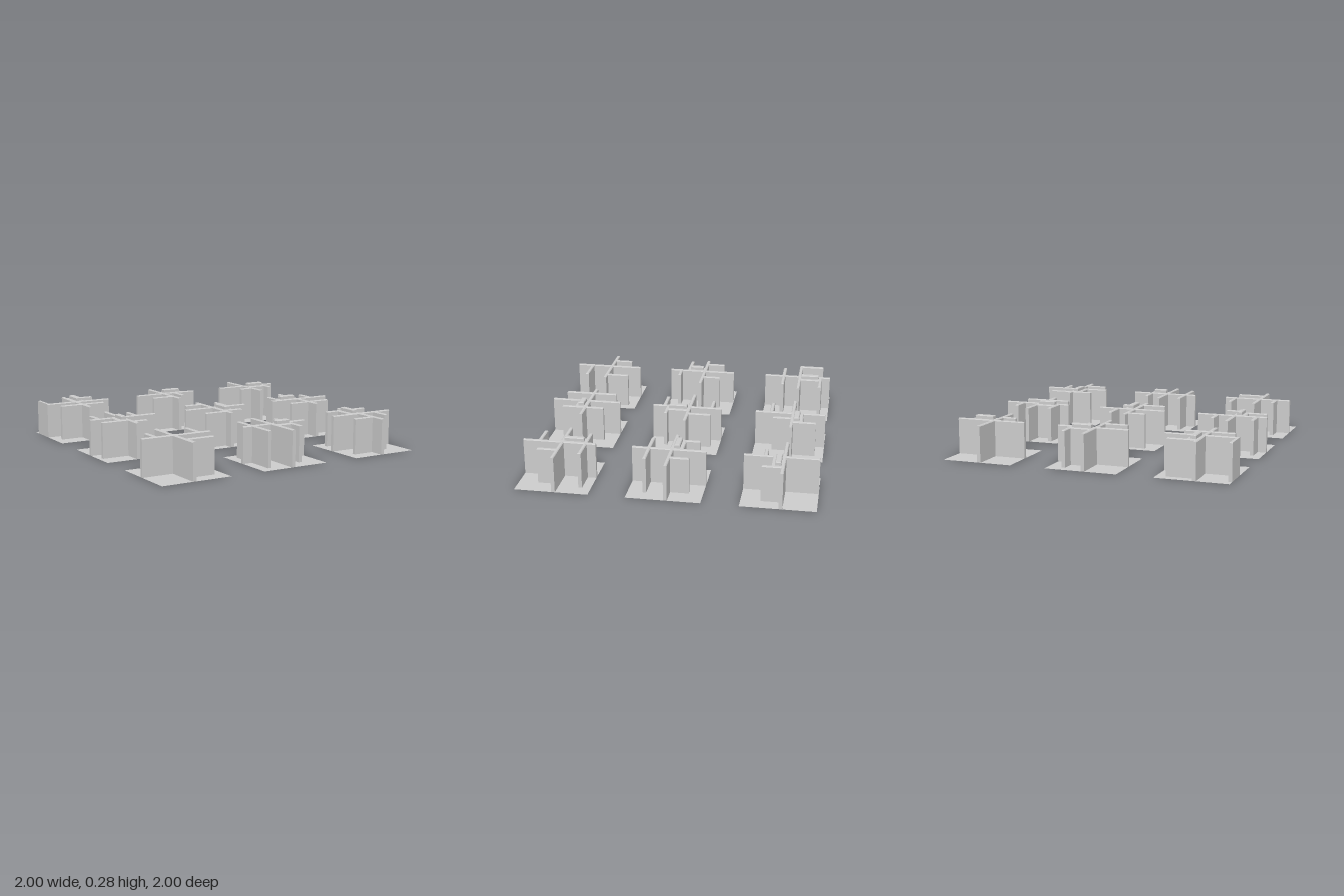
import * as THREE from 'three';

// Plans are in units of 0.005 from each tile's centre.
const U = 0.005, HALF = 50, THICK = 5;
const WALL = 0.25, ROOM = 0.275, BEVEL = 0.005;

// v: walls along z [x, z0, z1]; h: walls along x [z, x0, x1]; room: [x0, z0, x1, z1]
const plans = [
  { v: [[-50, -38, -6], [7, -33, -6]], h: [[-38, -1, 37], [19, -38, 31]], room: [-1, -33, 7, -6] },
  { v: [[26, -38, -6], [13, -1, 24]], h: [[-19, -1, 26], [25, -38, -6]], room: [-1, -14, 26, -6] },
  { v: [[26, -1, 24]], h: [[7, -1, 26], [19, -25, -6]], room: [-1, -1, 26, 7] },
  { v: [[-38, -31, -6], [19, -31, -6], [-18, -1, 19]], h: [[19, -44, -6], [31, -1, 18]], room: [-13, -1, -6, 19] },
  { v: [[19, -38, -6], [7, -1, 25]], h: [[-38, -31, -6], [25, -1, 25], [31, -38, -6]], room: [-1, -1, 7, 25] },
  { v: [[-36, -38, -6], [20, -31, -6]], h: [[-19, -31, -6], [25, -36, 31]], room: [-31, -14, -6, -6] },
  { v: [[-31, -31, -6], [32, -38, -6]], h: [[25, -1, 37]] },
  { v: [[-36, -38, 37], [19, -31, -6], [19, -1, 30]], h: [[7, -1, 19]], room: [-1, -1, 19, 7] },
  { v: [[-18, -33, -6], [20, -1, 24]], h: [[-38, -36, 31], [25, -36, -6]], room: [-13, -33, -6, -6] },
];

// Sorted grid lines: every edge plus a line one bevel either side of it
function gridLines(edges) {
  const all = new Set([-HALF, HALF]);
  for (const e of edges) for (const d of [-1, 0, 1]) if (Math.abs(e + d) <= HALF) all.add(e + d);
  return [...all].sort((a, b) => a - b);
}

function buildTile(plan, material) {
  const tile = new THREE.Group();
  // The crossing main walls come first, then the branches
  const rects = [
    ...[[-6, -HALF, HALF], ...plan.v].map(([x, a, b]) => [x, a, x + THICK, b]),
    ...[[-6, -HALF, HALF], ...plan.h].map(([z, a, b]) => [a, z, b, z + THICK]),
  ];
  const areas = plan.room ? [...rects, plan.room] : rects;
  const xs = gridLines(areas.flatMap((r) => [r[0], r[2]]));
  const zs = gridLines(areas.flatMap((r) => [r[1], r[3]]));
  const inside = (r, x, z) => x > r[0] && x < r[2] && z > r[1] && z < r[3];

  // Height of each cell; undefined outside the tile
  const cells = xs.slice(1).map((x1, i) => zs.slice(1).map((z1, j) => {
    const x = (xs[i] + x1) / 2, z = (zs[j] + z1) / 2;
    if (rects.some((r) => inside(r, x, z))) return WALL;
    return plan.room && inside(plan.room, x, z) ? ROOM : 0;
  }));
  const height = (i, j) => cells[i]?.[j];
  // A corner that touches a lower cell drops by the bevel
  const corner = (i, j, h) => {
    const low = [[-1, -1], [-1, 0], [0, -1], [0, 0]].some(([a, b]) => height(i + a, j + b) < h);
    return low ? h - BEVEL : h;
  };

  const faces = { 0: [], [WALL]: [], [ROOM]: [] };
  const quad = (out, a, b, c, d) => out.push(...a, ...b, ...c, ...a, ...c, ...d);
  const point = ([i, j], h) => [xs[i] * U, h ? corner(i, j, h) : 0, zs[j] * U];
  for (let i = 0; i < xs.length - 1; i++) {
    for (let j = 0; j < zs.length - 1; j++) {
      const h = height(i, j), out = faces[h];
      const ring = [[i, j], [i, j + 1], [i + 1, j + 1], [i + 1, j]];
      quad(out, ...ring.map((p) => point(p, h)));
      // Upright faces down to each lower neighbour
      [[-1, 0], [0, 1], [1, 0], [0, -1]].forEach(([di, dj], k) => {
        const n = height(i + di, j + dj) ?? 0;
        if (n >= h) return;
        const p = ring[k], q = ring[(k + 1) % 4];
        quad(out, point(p, h), point(p, n), point(q, n), point(q, h));
      });
    }
  }

  for (const [name, h] of [['floor', 0], ['walls', WALL], ['roomCap', ROOM]]) {
    if (!faces[h].length) continue;
    const geometry = new THREE.BufferGeometry();
    geometry.setAttribute('position', new THREE.Float32BufferAttribute(faces[h], 3));
    geometry.computeVertexNormals();
    const mesh = new THREE.Mesh(geometry, material);
    mesh.name = name;
    tile.add(mesh);
  }

  // Closed block filling the enclosed room beneath its cap
  if (plan.room) {
    const [x0, z0, x1, z1] = plan.room;
    const core = new THREE.Mesh(new THREE.BoxGeometry((x1 - x0) * U, WALL, (z1 - z0) * U), material);
    core.position.set((x0 + x1) * U / 2, WALL / 2, (z0 + z1) * U / 2);
    core.name = 'roomCore';
    tile.add(core);
  }
  return tile;
}

export function createModel() {
  const model = new THREE.Group();
  model.name = 'wallTiles';
  const material = new THREE.MeshStandardMaterial({ color: 0xcccccc, flatShading: true, side: THREE.DoubleSide });
  // Three rows of three, from the back left corner
  plans.forEach((plan, n) => {
    const tile = buildTile(plan, material);
    tile.name = `tile${n + 1}`;
    tile.position.set((n % 3 - 1) * 0.75, 0, (Math.floor(n / 3) - 1) * 0.75);
    model.add(tile);
  });
  return model;
}
